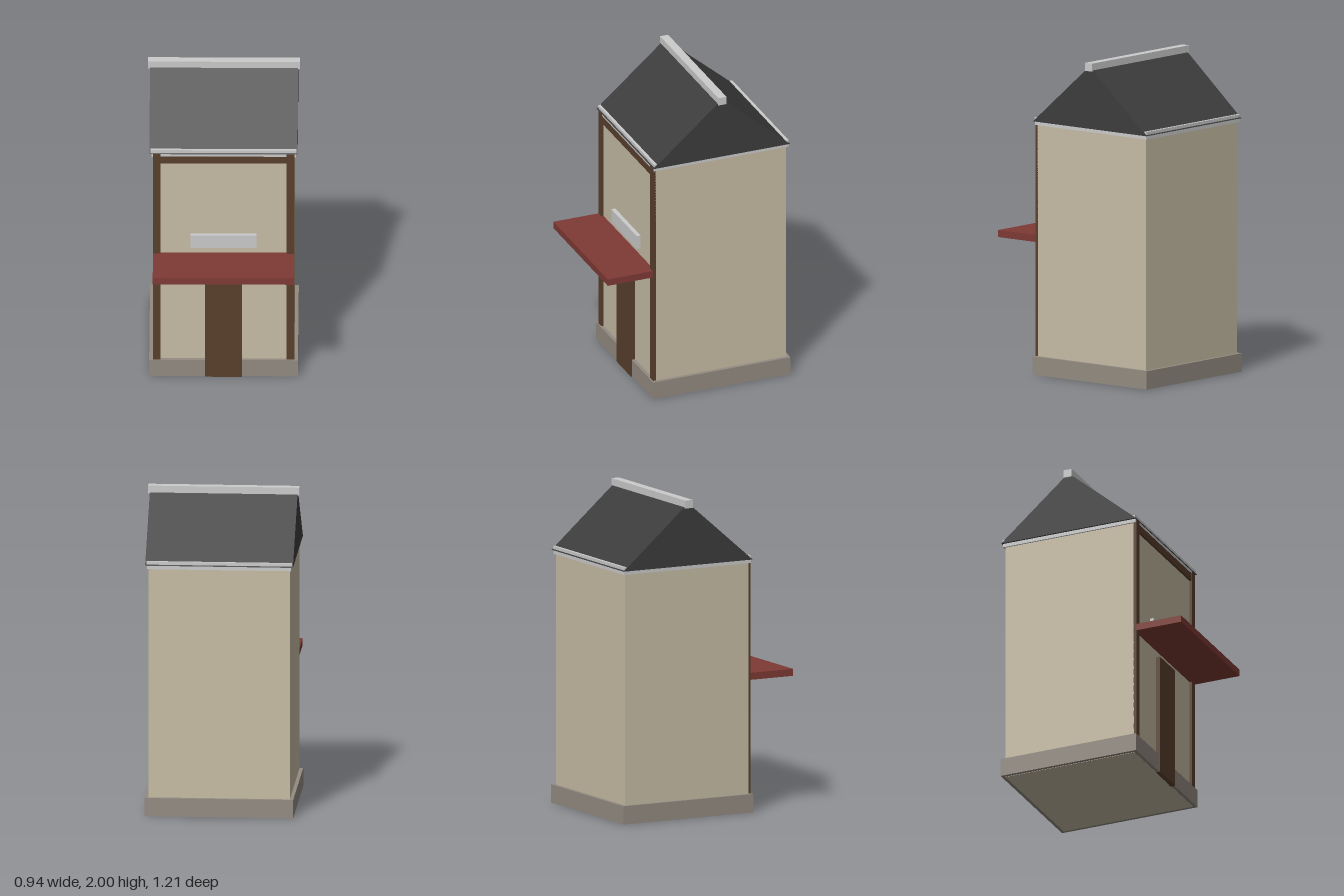
import * as THREE from 'three';

export function createModel() {
  const house = new THREE.Group();
  house.name = 'townhouse';

  const material = (name, color) => {
    const m = new THREE.MeshStandardMaterial({ color });
    m.name = name;
    return m;
  };
  const plaster = material('plaster', 0xc8bea6);
  const stone = material('stone', 0x948c82);
  const timber = material('timber', 0x5a402d);
  const slate = material('slate', 0x3d3d3d);
  const trim = material('pale trim', 0xcccccc);
  const awningRed = material('awning red', 0x7f3a35);

  // Box given by its limits on each axis
  const box = (name, mat, [x0, x1], [y0, y1], [z0, z1]) => {
    const mesh = new THREE.Mesh(new THREE.BoxGeometry(x1 - x0, y1 - y0, z1 - z0), mat);
    mesh.name = name;
    mesh.position.set((x0 + x1) / 2, (y0 + y1) / 2, (z0 + z1) / 2);
    house.add(mesh);
    return mesh;
  };
  const span = (half, centre = 0) => [centre - half, centre + half];
  const mid = -0.147; // centre of the house body in depth

  // Body
  box('plinth', stone, span(0.46), [0.002, 0.117], span(0.46, mid));
  box('walls', plaster, span(0.4375), [0, 1.57], span(0.4375, mid));
  box('eavesBand', trim, span(0.447), [1.565, 1.589], span(0.45, mid));

  // Timber frame on the front
  for (const side of [-1, 1]) {
    const name = side > 0 ? 'leftPost' : 'rightPost';
    box(name, timber, span(0.0235, side * 0.414), [0.117, 1.588], [0.285, 0.306]);
  }
  box('frontBeam', timber, span(0.39), [1.52, 1.568], [0.285, 0.305]);

  // Door, awning and blank sign board
  box('door', timber, span(0.115), [0, 0.785], [0.285, 0.318]);
  box('awning', awningRed, span(0.4365), [0.83, 0.874], [0.285, 0.608]);
  box('signBoard', trim, span(0.204), [0.922, 1.011], [0.285, 0.317]);

  // Gabled roof: triangle in depth and height, extruded across the width
  const gable = new THREE.Shape();
  gable.moveTo(-0.457, 1.588);
  gable.lineTo(0.457, 1.588);
  gable.lineTo(0, 1.98);
  gable.closePath();
  const roofGeometry = new THREE.ExtrudeGeometry(gable, { depth: 0.916, bevelEnabled: false });
  roofGeometry.translate(0, 0, -0.458).rotateY(Math.PI / 2);
  const roof = new THREE.Mesh(roofGeometry, slate);
  roof.name = 'roof';
  roof.position.z = mid;
  house.add(roof);

  // Ridge cap and eaves strips
  box('ridgeCap', trim, span(0.469), [1.95, 2], span(0.027, mid));
  for (const side of [-1, 1]) {
    const name = side > 0 ? 'frontEavesStrip' : 'backEavesStrip';
    box(name, trim, span(0.451), [1.592, 1.613], span(0.009, mid + side * 0.441));
  }

  return house;
}
